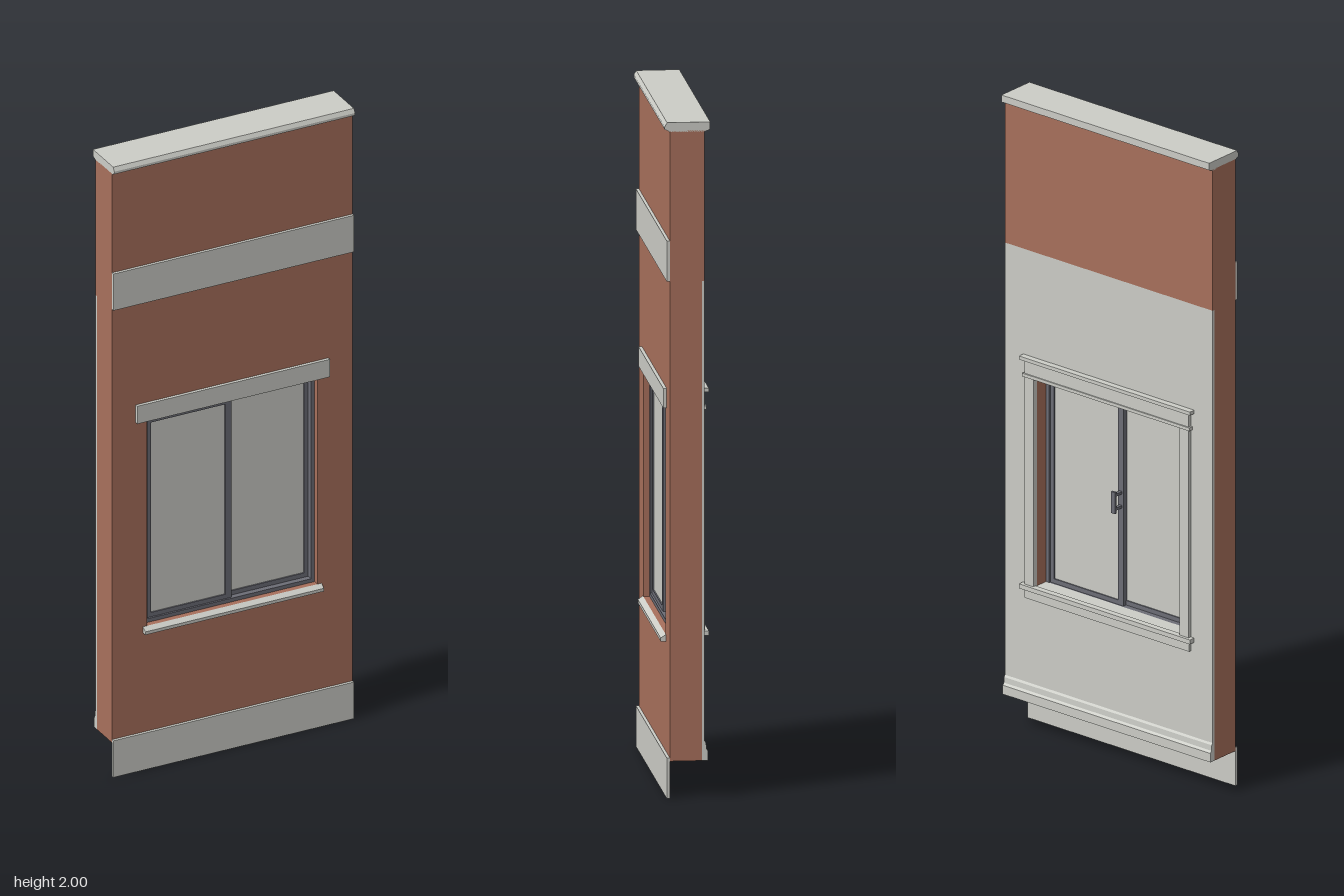
import * as THREE from 'three';

const material = (name, color) => {
  const m = new THREE.MeshStandardMaterial({ color });
  m.name = name;
  return m;
};

export function createModel() {
  const group = new THREE.Group();
  group.name = 'windowWallPanel';
  const brick = material('brick', 0xa8705c);
  const stone = material('paleStone', 0xcccdc7);
  const metal = material('windowMetal', 0x6c6d76);

  const W = 0.395; // half width of the wall
  const O = { x: 0.28, y0: 0.465, y1: 1.14 }; // window opening

  const add = (name, geometry, mat) => {
    const mesh = new THREE.Mesh(geometry, mat);
    mesh.name = name;
    group.add(mesh);
    return mesh;
  };
  // Box given by its limits on each axis
  const box = (name, mat, x0, x1, y0, y1, z0, z1) =>
    add(name, new THREE.BoxGeometry(x1 - x0, y1 - y0, z1 - z0), mat)
      .position.set((x0 + x1) / 2, (y0 + y1) / 2, (z0 + z1) / 2);
  // Moulding: a [z, y] profile run along x
  const moulding = (name, mat, halfLength, profile) => {
    const shape = new THREE.Shape(profile.map(([z, y]) => new THREE.Vector2(z, y)));
    const geo = new THREE.ExtrudeGeometry(shape, { depth: 2 * halfLength, bevelEnabled: false });
    geo.translate(0, 0, -halfLength).rotateY(-Math.PI / 2);
    return add(name, geo, mat);
  };
  const rect = (path, x0, x1, y0, y1) =>
    path.moveTo(x0, y0).lineTo(x1, y0).lineTo(x1, y1).lineTo(x0, y1).closePath();
  // Upright slab with a rectangular hole
  const holed = (name, mat, [x0, x1, y0, y1], hole, z0, z1) => {
    const shape = rect(new THREE.Shape(), x0, x1, y0, y1);
    shape.holes.push(rect(new THREE.Path(), ...hole));
    const geo = new THREE.ExtrudeGeometry(shape, { depth: z1 - z0, bevelEnabled: false });
    add(name, geo.translate(0, 0, z0), mat);
  };

  // Wall core, inner plaster and the bare brick above it
  const opening = [-O.x, O.x, O.y0, O.y1];
  holed('brickWall', brick, [-W, W, 0.11, 1.975], opening, -0.041, 0.053);
  holed('innerPlaster', stone, [-W, W, 0.11, 1.53], opening, -0.049, -0.041);
  box('upperInnerBrick', brick, -W, W, 1.53, 1.975, -0.049, -0.041);

  // Outer bands and coping
  box('basePlate', stone, -W, W, 0, 0.12, 0.053, 0.062);
  box('upperBand', stone, -W, W, 1.53, 1.65, 0.053, 0.062);
  box('lintel', stone, -0.317, 0.315, 1.14, 1.198, 0.053, 0.063);
  moulding('coping', stone, W, [
    [-0.065, 1.978], [-0.05, 1.972], [0.053, 1.972], [0.061, 1.977],
    [0.068, 1.98], [0.068, 1.988], [0.061, 2], [-0.065, 2],
  ]);
  moulding('outerSill', stone, 0.293, [
    [0.053, 0.445], [0.068, 0.445], [0.068, 0.455], [0.053, 0.465],
  ]);

  // Skirting along the inside
  moulding('skirting', stone, W, [
    [-0.049, 0.11], [-0.049, 0.168], [-0.053, 0.162], [-0.054, 0.145],
    [-0.059, 0.138], [-0.059, 0.11],
  ]);

  // Window frame
  const f = 0.012;
  holed('windowFrame', metal, opening, [-O.x + f, O.x - f, O.y0 + f, O.y1 - f], 0, 0.035);

  // Two sashes with panes
  for (const s of [-1, 1]) {
    const x0 = s < 0 ? -O.x + f : -0.01;
    const x1 = s < 0 ? 0.01 : O.x - f;
    const y0 = O.y0 + f, y1 = O.y1 - f;
    const zs = s < 0 ? 0.017 : 0.005; // sashes slide past one another
    const t = 0.014;
    holed(s < 0 ? 'rightSash' : 'leftSash', metal, [x0, x1, y0, y1],
      [x0 + (s < 0 ? t : 0.02), x1 - (s < 0 ? 0.02 : t), y0 + t, y1 - t], zs, zs + 0.012);
    box(s < 0 ? 'rightPane' : 'leftPane', stone, x0 + 0.004, x1 - 0.004,
      y0 + 0.004, y1 - 0.004, zs + 0.004, zs + 0.008);
  }

  // Pull handle on two small mounts
  box('handleGrip', metal, -0.007, 0.007, 0.777, 0.845, -0.03, -0.022);
  for (const y of [0.785, 0.829]) box('handleMount', metal, -0.005, 0.005, y, y + 0.008, -0.023, 0.006);

  // Inner casing, head trim, stool and apron
  for (const s of [-1, 1]) {
    const a = s * 0.278, b = s * 0.312;
    box('sideCasing', stone, Math.min(a, b), Math.max(a, b), 0.475, 1.14, -0.059, -0.049);
  }
  box('headBead', stone, -0.318, 0.318, 1.134, 1.144, -0.063, -0.049);
  box('headCasing', stone, -0.312, 0.312, 1.144, 1.187, -0.059, -0.049);
  box('headCap', stone, -0.325, 0.325, 1.187, 1.198, -0.069, -0.049);
  box('stool', stone, -0.325, 0.325, 0.466, 0.48, -0.069, -0.049);
  box('stoolReturn', stone, -O.x, O.x, 0.465, 0.477, -0.049, 0);
  box('apron', stone, -0.312, 0.312, 0.436, 0.466, -0.058, -0.049);

  return group;
}
